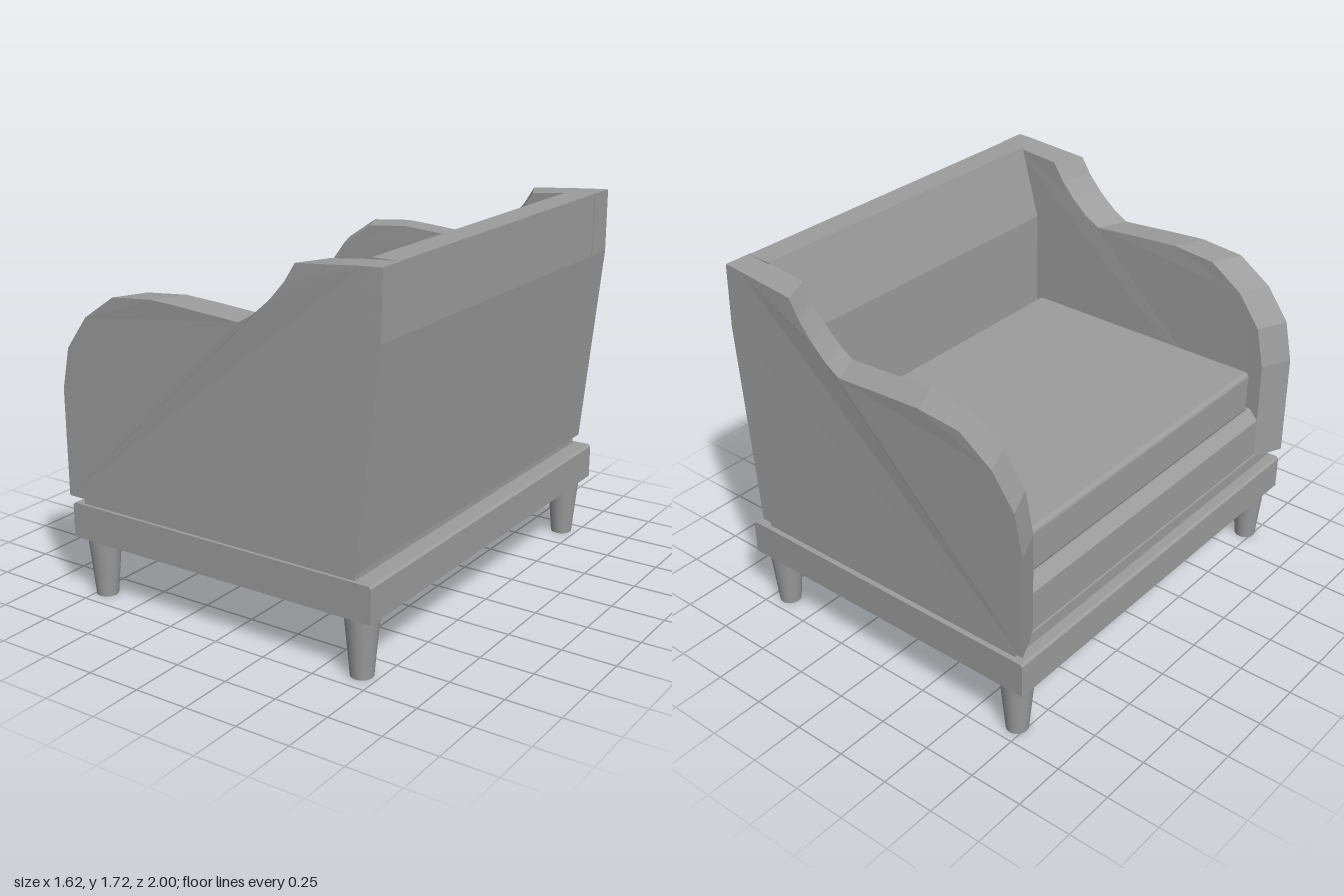
import * as THREE from 'three';
import { RoundedBoxGeometry } from 'three/addons/geometries/RoundedBoxGeometry.js';

export function createModel() {
  const group = new THREE.Group();
  const grey = new THREE.MeshStandardMaterial({ color: 0x9c9c9c });
  grey.name = 'neutral grey';

  const add = (name, geometry, x = 0, y = 0, z = 0) => {
    const mesh = new THREE.Mesh(geometry, grey);
    mesh.name = name;
    mesh.position.set(x, y, z);
    group.add(mesh);
    return mesh;
  };
  // Side profile (x, y) extruded along z
  const extrude = (points, z0, z1) => {
    const shape = new THREE.Shape(points.map(([x, y]) => new THREE.Vector2(x, y)));
    return new THREE.ExtrudeGeometry(shape, { depth: z1 - z0, bevelEnabled: false }).translate(0, 0, z0);
  };
  // Box given by its limits
  const box = (name, x0, x1, y0, y1, z0, z1, radius = 0) => {
    const size = [x1 - x0, y1 - y0, z1 - z0];
    const geometry = radius ? new RoundedBoxGeometry(...size, 2, radius) : new THREE.BoxGeometry(...size);
    return add(name, geometry, (x0 + x1) / 2, (y0 + y1) / 2, (z0 + z1) / 2);
  };

  // Tapered legs
  for (const x of [-0.71, 0.675]) {
    for (const z of [0.895, -0.91]) {
      add('leg', new THREE.CylinderGeometry(0.077, 0.05, 0.29, 20), x, 0.145, z);
    }
  }

  // Base frame with a slightly bevelled upper edge, and the recess above it
  add('baseFrame', extrude([
    [-0.81, 0.28], [0.77, 0.28], [0.77, 0.435], [0.76, 0.445], [-0.8, 0.445], [-0.81, 0.435],
  ], -1, 0.98));
  box('recessedPlinth', -0.755, 0.685, 0.44, 0.5, -0.975, 0.965);

  // Scrolled arms: front and top edges lean back towards the inside
  const armProfile = [
    [-0.81, 0.485], [0.705, 0.485], [0.805, 1.43], [0.807, 1.72], [0.72, 1.715], [0.42, 1.69],
    [0.37, 1.61], [0.3, 1.53], [0.22, 1.46], [0.15, 1.42], [-0.12, 1.44], [-0.29, 1.45],
    [-0.5, 1.43], [-0.66, 1.32], [-0.77, 1.17], [-0.81, 0.98],
  ];
  for (const side of [1, -1]) {
    const geometry = extrude(armProfile, 0, 1);
    const p = geometry.attributes.position;
    for (let i = 0; i < p.count; i++) {
      const x = p.getX(i), y = p.getY(i);
      const isOuter = (p.getZ(i) > 0.5) === (side > 0);
      const back = THREE.MathUtils.clamp((x + 0.3) / 1.1, 0, 1);
      const outer = 0.997 - 0.03 * back * (y - 0.485) / 1.235;
      const inner = 0.85 - 0.02 * back;
      p.setZ(i, side * (isOuter ? outer : inner));
      if (!isOuter && x < 0.6) p.setX(i, x + 0.065);
    }
    geometry.computeVertexNormals();
    add(side > 0 ? 'armFrontSide' : 'armBackSide', geometry);
  }

  // Backrest with a sloped upper face
  add('backrest', extrude([
    [0.585, 0.485], [0.705, 0.485], [0.803, 1.43], [0.803, 1.72], [0.68, 1.72], [0.585, 1.38],
  ], -0.845, 0.845));

  // Front rail and seat deck under the cushion
  add('seatDeck', extrude([
    [-0.745, 0.485], [0.6, 0.485], [0.6, 0.74], [-0.7, 0.74], [-0.745, 0.69],
  ], -0.855, 0.855));

  // Seat cushion
  box('seatCushion', -0.7, 0.56, 0.735, 0.95, -0.832, 0.832, 0.025);

  return group;
}
